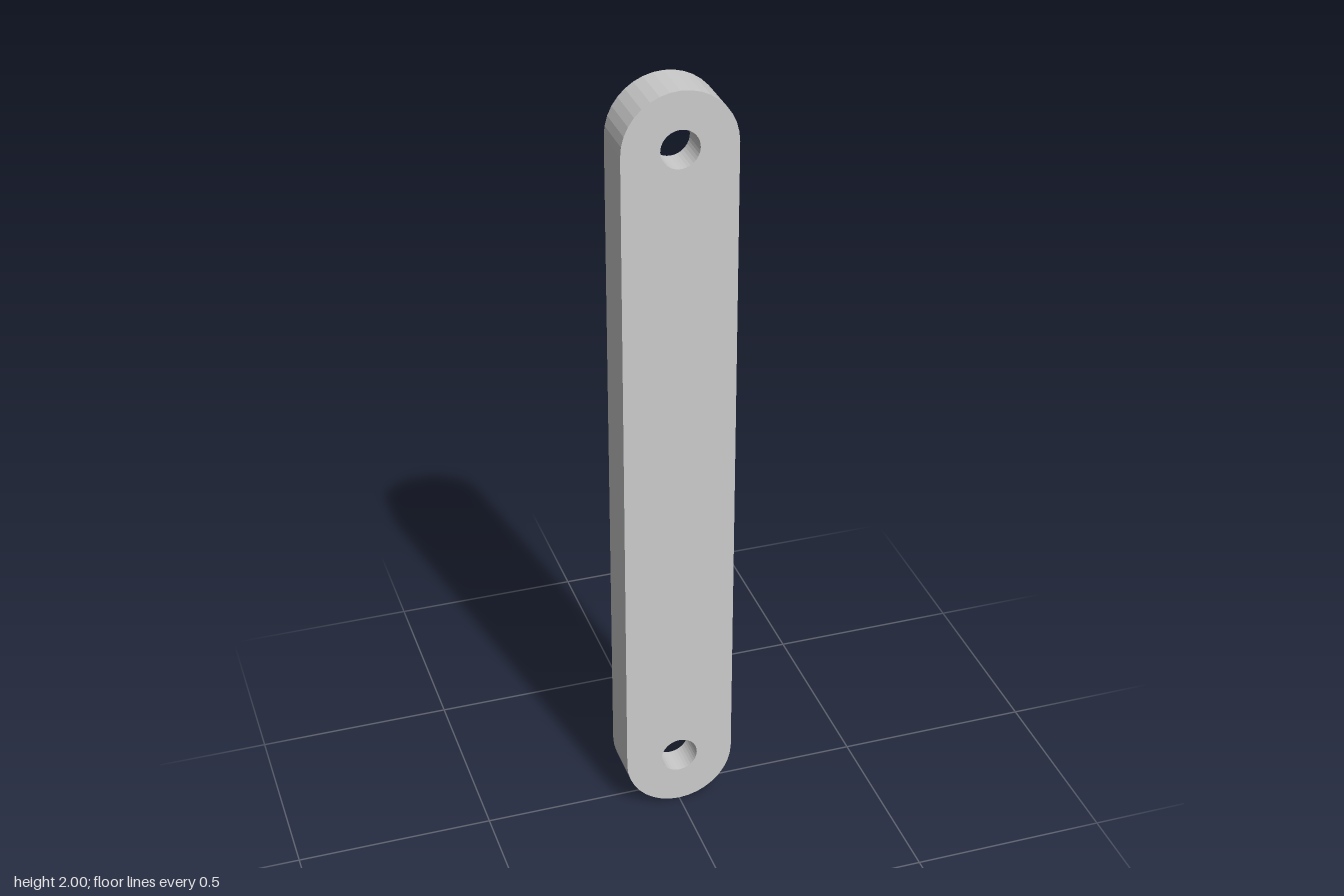
import * as THREE from 'three';

const R = 0.142;          // end radius of the bar
const HALF = 0.063;       // half thickness
const BORE = 0.048;       // through-hole radius
const POCKET = 0.096;     // counterbore radius on the back
const STEP = -HALF + 0.048; // z of the counterbore floor
const CENTERS = [R, 2 - R]; // heights of the two holes
const SEG = 36;

// points of an arc around (0, cy), counter-clockwise
function arc(cy, r, start, sweep, n) {
  return Array.from({ length: n + 1 }, (_, i) => {
    const a = start + (sweep * i) / n;
    return new THREE.Vector2(r * Math.cos(a), cy + r * Math.sin(a));
  });
}

// rounded-end outline of the bar
function outline() {
  return [
    ...arc(CENTERS[1], R, 0, Math.PI, SEG / 2),
    ...arc(CENTERS[0], R, Math.PI, Math.PI, SEG / 2),
  ];
}

// flat face of the bar with two round holes
function faceGeometry(holeRadius) {
  const shape = new THREE.Shape(outline());
  for (const cy of CENTERS) {
    shape.holes.push(new THREE.Path(arc(cy, holeRadius, 0, -2 * Math.PI, SEG).slice(0, -1)));
  }
  return new THREE.ShapeGeometry(shape);
}

// wall around the outline
function rimGeometry() {
  const pts = outline();
  const pos = [];
  const index = [];
  pts.forEach((p, i) => {
    pos.push(p.x, p.y, HALF, p.x, p.y, -HALF);
    const a = 2 * i;
    const b = 2 * ((i + 1) % pts.length);
    index.push(a, a + 1, b, b, a + 1, b + 1);
  });
  const g = new THREE.BufferGeometry();
  g.setAttribute('position', new THREE.Float32BufferAttribute(pos, 3));
  g.setIndex(index);
  g.computeVertexNormals();
  return g;
}

// stepped hole: narrow bore in front, wide pocket at the back
function holeGeometry() {
  const profile = [[BORE, HALF], [BORE, STEP], [POCKET, STEP], [POCKET, -HALF]];
  const g = new THREE.LatheGeometry(profile.map(([x, y]) => new THREE.Vector2(x, y)), SEG);
  return g.rotateX(Math.PI / 2);
}

export function createModel() {
  const group = new THREE.Group();
  group.name = 'linkBar';
  const material = new THREE.MeshStandardMaterial({ color: 0xcccccc, flatShading: true });
  const add = (name, geometry) => {
    const mesh = new THREE.Mesh(geometry, material);
    mesh.name = name;
    group.add(mesh);
    return mesh;
  };

  // bar faces and rim
  add('frontFace', faceGeometry(BORE)).position.z = HALF;
  const back = add('backFace', faceGeometry(POCKET));
  back.rotation.y = Math.PI;
  back.position.z = -HALF;
  add('rim', rimGeometry());

  // counterbored holes
  CENTERS.forEach((cy, i) => {
    add(i ? 'upperHole' : 'lowerHole', holeGeometry()).position.y = cy;
  });
  return group;
}
